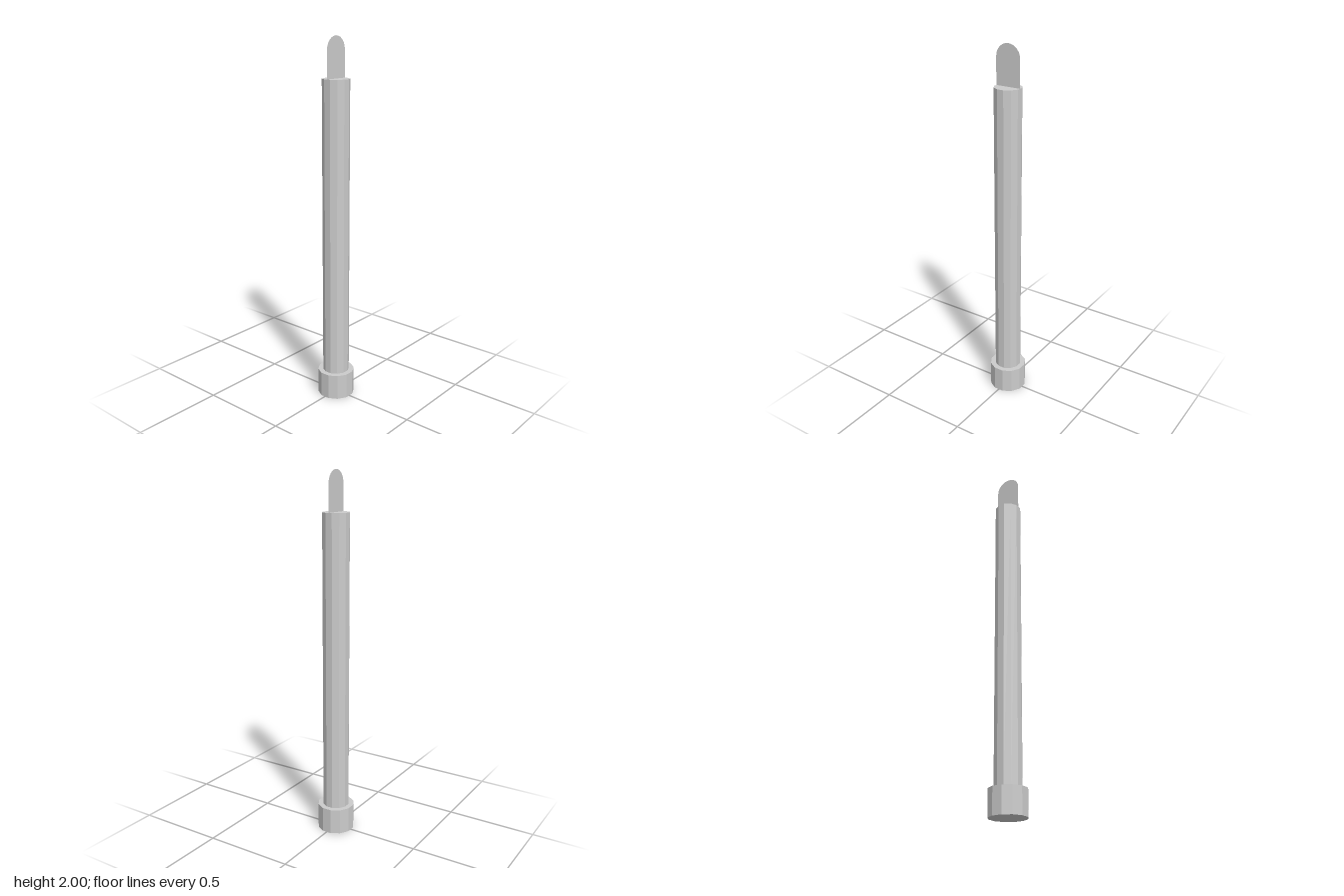
import * as THREE from 'three';

const SIDES = 12;

export function createModel() {
  const model = new THREE.Group();
  const material = new THREE.MeshStandardMaterial({ color: 0xcccccc, flatShading: true });
  const bladeMaterial = new THREE.MeshStandardMaterial({ color: 0xcccccc, side: THREE.DoubleSide });

  // Twelve-sided prism, sized across its flats, with flats facing the axes
  function prism(name, apothem, bottom, top) {
    const r = apothem / Math.cos(Math.PI / SIDES);
    const geometry = new THREE.CylinderGeometry(r, r, top - bottom, SIDES, 1, false, Math.PI / SIDES);
    const mesh = new THREE.Mesh(geometry, material);
    mesh.name = name;
    mesh.position.y = (bottom + top) / 2;
    model.add(mesh);
  }

  prism('baseCollar', 0.099, 0, 0.143);
  prism('shaft', 0.071, 0.143, 1.785);

  // Thin upright tip with a rounded top
  const w = 0.071;
  const outline = new THREE.Shape();
  outline.moveTo(-w, 1.785);
  outline.lineTo(w, 1.785);
  outline.lineTo(w, 2 - w);
  outline.absarc(0, 2 - w, w, 0, Math.PI, false);
  outline.closePath();
  const tip = new THREE.Mesh(new THREE.ShapeGeometry(outline, 6), bladeMaterial);
  tip.name = 'flatTip';
  model.add(tip);

  return model;
}
